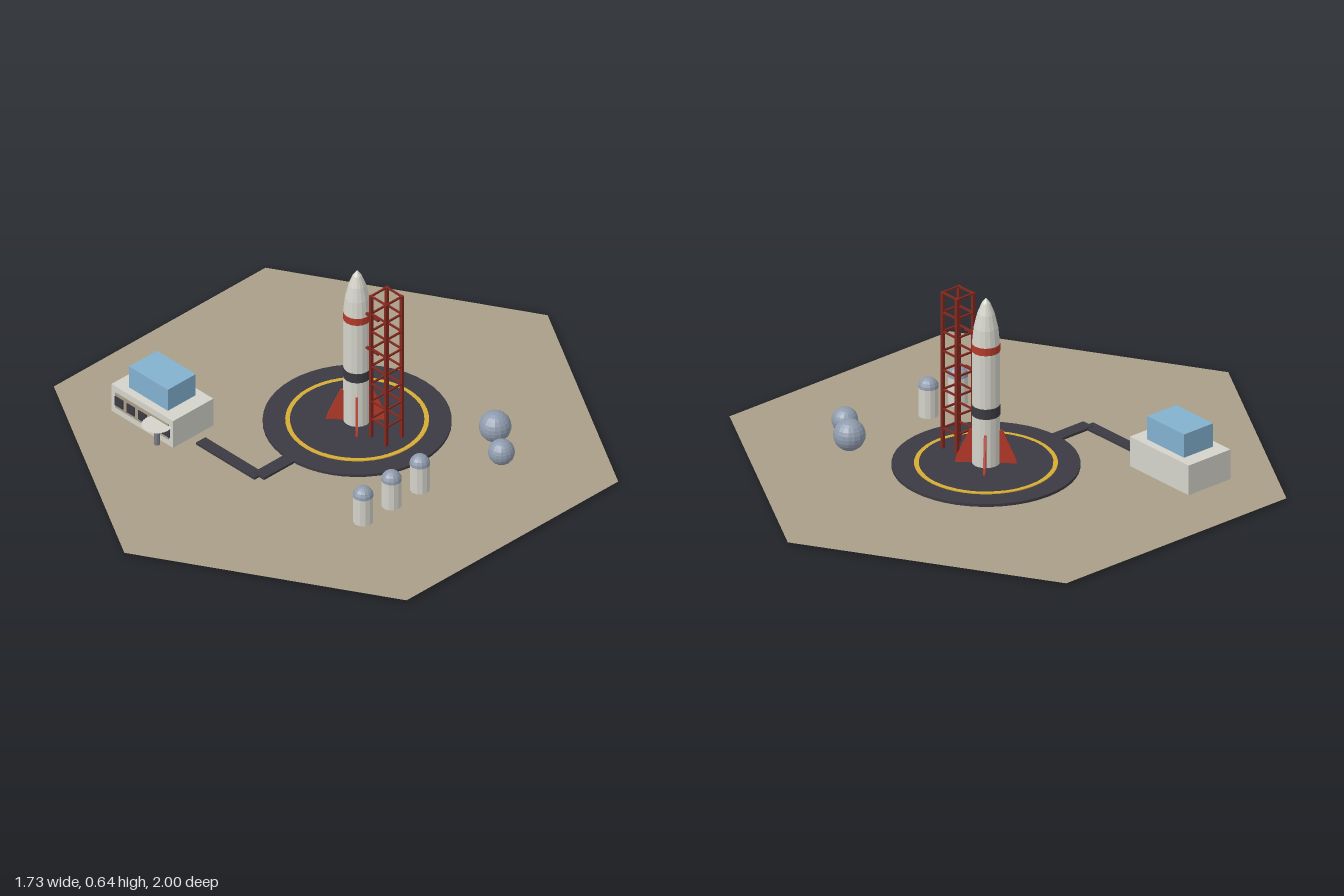
import * as THREE from 'three';

export function createModel() {
  const root = new THREE.Group();
  root.name = 'launchSite';

  const mat = (name, color, extra = {}) => {
    const m = new THREE.MeshStandardMaterial({ color, flatShading: true, ...extra });
    m.name = name;
    return m;
  };
  const sand = mat('sand', 0xa89e88, { side: THREE.DoubleSide });
  const asphalt = mat('asphalt', 0x3b3a42);
  const yellow = mat('yellow', 0xd6ac34);
  const white = mat('white', 0xd4d3ca);
  const red = mat('red', 0xb43a2a);
  const rust = mat('rust', 0x84281e);
  const glass = mat('glass', 0x82b1cf);
  const steel = mat('steel', 0x8f9bad);
  const grey = mat('grey', 0x7b7d84);

  const add = (parent, name, geo, m, x = 0, y = 0, z = 0) => {
    const mesh = new THREE.Mesh(geo, m);
    mesh.name = name;
    mesh.position.set(x, y, z);
    parent.add(mesh);
    return mesh;
  };
  // Box given by its two opposite corners
  const box = (parent, name, m, x0, x1, y0, y1, z0, z1) =>
    add(parent, name, new THREE.BoxGeometry(x1 - x0, y1 - y0, z1 - z0), m,
      (x0 + x1) / 2, (y0 + y1) / 2, (z0 + z1) / 2);
  const group = (name, x = 0, y = 0, z = 0) => {
    const g = new THREE.Group();
    g.name = name;
    g.position.set(x, y, z);
    root.add(g);
    return g;
  };
  const lathe = (pts, sides) =>
    new THREE.LatheGeometry(pts.map(([r, y]) => new THREE.Vector2(r, y)), sides);

  // Hexagonal ground sheet
  const ground = add(root, 'ground', new THREE.CircleGeometry(1, 6, Math.PI / 2), sand, 0, 0.008, 0);
  ground.rotation.x = -Math.PI / 2;

  // Launch pad with a painted ring
  const pad = group('launchPad', 0, 0, -0.1);
  add(pad, 'padBase', new THREE.CylinderGeometry(0.322, 0.322, 0.01, 48), asphalt, 0, 0.014, 0);
  add(pad, 'padRing', lathe([[0.245, 0.018], [0.245, 0.022], [0.229, 0.022]], 48), yellow);
  add(pad, 'padCentre', new THREE.CylinderGeometry(0.23, 0.23, 0.004, 48), asphalt, 0, 0.02, 0);

  // Access road in two legs
  const road = group('road');
  box(road, 'roadFromPad', asphalt, -0.025, 0.025, 0.009, 0.018, 0.2, 0.364);
  box(road, 'roadToBuilding', asphalt, -0.287, 0, 0, 0.016, 0.341, 0.386);

  // Rocket: stacked body sections and ogive nose
  const rocket = group('rocket', 0, 0, -0.1);
  const R = 0.048;
  const section = (name, m, y0, y1, r) =>
    add(rocket, name, new THREE.CylinderGeometry(r, r, y1 - y0, 16), m, 0, (y0 + y1) / 2, 0);
  section('lowerBody', white, 0.022, 0.205, R);
  section('darkBand', asphalt, 0.205, 0.243, R + 0.001);
  section('upperBody', white, 0.243, 0.446, R);
  section('redBand', red, 0.446, 0.474, R + 0.001);
  add(rocket, 'nose', lathe(
    [[R, 0.474], [0.042, 0.535], [0.03, 0.587], [0.015, 0.625], [0, 0.645]], 16), white);

  // Four fins set on the diagonals
  const finShape = new THREE.Shape();
  [[0.04, 0.022], [0.106, 0.022], [0.1, 0.045], [0.056, 0.145], [0.04, 0.145]]
    .forEach(([x, y], i) => (i ? finShape.lineTo(x, y) : finShape.moveTo(x, y)));
  const finGeo = new THREE.ExtrudeGeometry(finShape, { depth: 0.008, bevelEnabled: false });
  finGeo.translate(0, 0, -0.004);
  for (let i = 0; i < 4; i++) {
    add(rocket, 'fin', finGeo, red).rotation.y = Math.PI / 4 + (i * Math.PI) / 2;
  }

  // Service tower: four posts, square frames, two arms
  const tower = group('serviceTower', 0.144, 0, -0.1);
  const h = 0.037;
  for (const sx of [-1, 1]) {
    for (const sz of [-1, 1]) {
      add(tower, 'post', new THREE.BoxGeometry(0.011, 0.592, 0.011), rust, sx * h, 0.316, sz * h);
    }
  }
  for (let i = 0; i < 8; i++) {
    const y = 0.098 + i * 0.0731;
    for (const s of [-1, 1]) {
      add(tower, 'rungAcross', new THREE.BoxGeometry(2 * h, 0.006, 0.006), rust, 0, y, s * h);
      add(tower, 'rungAlong', new THREE.BoxGeometry(0.006, 0.006, 2 * h), rust, s * h, y, 0);
    }
  }
  for (const y of [0.347, 0.488]) {
    box(tower, 'arm', rust, -0.103, -h, y - 0.004, y + 0.004, -0.005, 0.005);
  }

  // Control building with window strip and glazed upper room
  const building = group('controlBuilding');
  box(building, 'mainBlock', white, -0.628, -0.326, 0.008, 0.12, 0.266, 0.456);
  box(building, 'glassRoom', glass, -0.572, -0.382, 0.12, 0.208, 0.295, 0.427);
  box(building, 'windowStrip', sand, -0.607, -0.347, 0.034, 0.096, 0.456, 0.459);
  for (let i = 0; i < 5; i++) {
    const x = -0.587 + i * 0.0575;
    box(building, 'window', asphalt, x - 0.02, x + 0.02, 0.046, 0.083, 0.459, 0.462);
  }

  // Dish on a short pole
  const dish = group('dish', -0.381, 0, 0.479);
  add(dish, 'dishPole', new THREE.CylinderGeometry(0.011, 0.011, 0.066, 8), grey, 0, 0.041, 0);
  add(dish, 'dishBowl', new THREE.CylinderGeometry(0.053, 0.012, 0.018, 20), white, 0, 0.081, 0);

  // Round fuel tanks
  const tanks = group('roundTanks');
  for (const [x, z, r] of [[0.4, -0.367, 0.056], [0.513, -0.288, 0.046]]) {
    add(tanks, 'roundTank', new THREE.SphereGeometry(r, 16, 12), steel, x, r + 0.01, z);
  }

  // Row of domed silos
  const silos = group('silos');
  for (const z of [0.016, 0.15, 0.284]) {
    add(silos, 'siloBody', new THREE.CylinderGeometry(0.035, 0.035, 0.11, 12), white, 0.428, 0.063, z);
    add(silos, 'siloDome', new THREE.SphereGeometry(0.036, 12, 5, 0, Math.PI * 2, 0, Math.PI / 2),
      steel, 0.428, 0.114, z);
  }

  return root;
}
